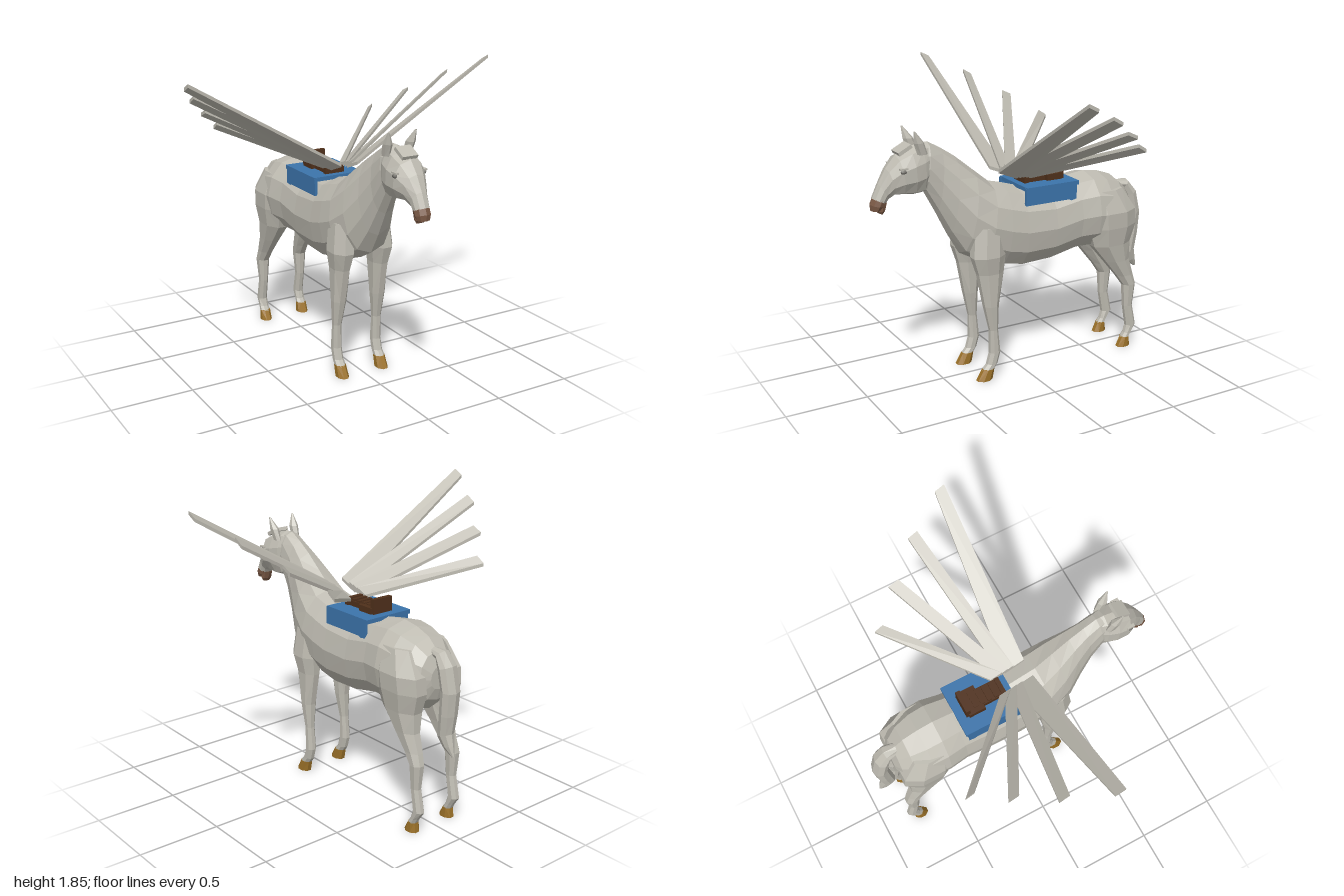
import * as THREE from 'three';

const paint = (name, color) => {
  const m = new THREE.MeshStandardMaterial({ color });
  m.name = name;
  return m;
};

// Closed faceted skin over a list of rings, wound outwards
function loft(rings) {
  const n = rings[0].length, tris = [];
  const mid = r => r.reduce((s, p) => s.add(p), new THREE.Vector3()).divideScalar(n);
  for (let k = 0; k < rings.length - 1; k++) {
    for (let i = 0; i < n; i++) {
      const j = (i + 1) % n, a = rings[k], b = rings[k + 1];
      tris.push([a[i], a[j], b[j]], [a[i], b[j], b[i]]);
    }
  }
  const first = rings[0], last = rings[rings.length - 1];
  const c0 = mid(first), c1 = mid(last);
  for (let i = 0; i < n; i++) {
    const j = (i + 1) % n;
    tris.push([c0, first[j], first[i]], [c1, last[i], last[j]]);
  }
  // a negative volume means the skin is inside out
  const volume = tris.reduce((v, [a, b, c]) => v + a.dot(b.clone().cross(c)), 0);
  if (volume < 0) tris.forEach(t => t.reverse());
  const g = new THREE.BufferGeometry().setFromPoints(tris.flat());
  g.computeVertexNormals();
  return g;
}

// Ring standing across the body: top z,y, bottom z,y and half width
const uprightRing = n => ([zt, yt, zb, yb, w]) => Array.from({ length: n }, (_, i) => {
  const a = (i / n) * Math.PI * 2, t = (1 + Math.cos(a)) / 2, s = Math.sin(a);
  return new THREE.Vector3(w * Math.sign(s) * Math.abs(s) ** 0.85,
    yb + (yt - yb) * t, zb + (zt - zb) * t);
});

// Level ring: height, front z, back z, inner x and outer x
const levelRing = (side, n = 8) => ([y, zf, zb, xi, xo]) => Array.from({ length: n }, (_, i) => {
  const a = ((i + 0.5) / n) * Math.PI * 2, k = 1.06;
  return new THREE.Vector3(side * ((xi + xo) / 2 + k * Math.cos(a) * (xo - xi) / 2), y,
    (zf + zb) / 2 + k * Math.sin(a) * (zf - zb) / 2);
});

const TRUNK = [
  [-0.80, 1.00, -0.80, 0.86, 0.07], [-0.77, 1.08, -0.78, 0.79, 0.13],
  [-0.70, 1.145, -0.72, 0.72, 0.185], [-0.60, 1.18, -0.60, 0.70, 0.22],
  [-0.50, 1.195, -0.50, 0.71, 0.225], [-0.38, 1.18, -0.38, 0.71, 0.205],
  [-0.20, 1.15, -0.20, 0.67, 0.20], [0, 1.17, 0, 0.66, 0.20],
  [0.10, 1.20, 0.13, 0.685, 0.20], [0.18, 1.22, 0.27, 0.74, 0.195],
  [0.29, 1.31, 0.38, 0.80, 0.165], [0.40, 1.40, 0.455, 0.93, 0.12],
  [0.49, 1.46, 0.53, 1.08, 0.09], [0.57, 1.505, 0.60, 1.21, 0.08],
  [0.62, 1.50, 0.64, 1.23, 0.07],
];
const HEAD = [
  [0.57, 1.50, 0.58, 1.25, 0.07], [0.62, 1.505, 0.61, 1.21, 0.09],
  [0.69, 1.485, 0.67, 1.205, 0.106], [0.77, 1.45, 0.74, 1.215, 0.105],
  [0.83, 1.38, 0.79, 1.22, 0.075], [0.88, 1.295, 0.825, 1.20, 0.052],
  [0.918, 1.215, 0.84, 1.18, 0.048],
];
const TAIL = [
  [-0.72, 1.10, -0.74, 1.04, 0.03], [-0.83, 1.095, -0.79, 1.045, 0.05],
  [-0.895, 1.02, -0.81, 0.99, 0.06], [-0.93, 0.87, -0.835, 0.88, 0.06],
  [-0.92, 0.73, -0.825, 0.73, 0.055], [-0.905, 0.62, -0.81, 0.59, 0.045],
  [-0.92, 0.55, -0.85, 0.53, 0.03], [-0.93, 0.49, -0.915, 0.485, 0.008],
];
const FRONT_LEG = [
  [0.98, 0.34, 0.14, 0.05, 0.185], [0.80, 0.36, 0.145, 0.06, 0.205],
  [0.69, 0.325, 0.155, 0.08, 0.185], [0.48, 0.285, 0.19, 0.092, 0.18],
  [0.32, 0.25, 0.195, 0.112, 0.168], [0.17, 0.25, 0.18, 0.11, 0.17],
  [0.10, 0.27, 0.20, 0.11, 0.17], [0.065, 0.30, 0.225, 0.108, 0.172],
];
const HIND_LEG = [
  [1.09, -0.45, -0.70, 0.06, 0.185], [0.95, -0.44, -0.79, 0.04, 0.23],
  [0.85, -0.45, -0.80, 0.04, 0.225], [0.73, -0.49, -0.765, 0.05, 0.205],
  [0.61, -0.59, -0.765, 0.075, 0.19], [0.50, -0.68, -0.80, 0.09, 0.18],
  [0.43, -0.73, -0.82, 0.10, 0.18], [0.28, -0.74, -0.805, 0.112, 0.168],
  [0.14, -0.765, -0.835, 0.11, 0.17], [0.09, -0.75, -0.80, 0.11, 0.17],
  [0.06, -0.73, -0.785, 0.108, 0.172],
];
const EAR = [
  [1.45, 0.66, 0.60, 0.05, 0.09], [1.52, 0.685, 0.625, 0.05, 0.10],
  [1.59, 0.69, 0.68, 0.084, 0.092],
];
// Tip x, then front z, back z, front y, back y at the tip and at the root
const FEATHERS = [
  [1.00, [0.135, 0.075, 1.85, 1.82], [0.135, 0.01, 1.29, 1.24]],
  [0.87, [-0.11, -0.17, 1.735, 1.70], [0.065, -0.015, 1.28, 1.24]],
  [0.715, [-0.32, -0.385, 1.60, 1.57], [0.03, -0.05, 1.27, 1.235]],
  [0.56, [-0.51, -0.565, 1.475, 1.44], [-0.01, -0.085, 1.26, 1.23]],
];

export function createModel() {
  const coat = paint('coat grey', 0xbfbcb2);
  const hoofMat = paint('hoof ochre', 0x9c7229);
  const muzzleMat = paint('muzzle brown', 0x7a5945);
  const cloth = paint('cloth blue', 0x3c74ab);
  const leather = paint('leather brown', 0x4f301b);
  const eyeMat = paint('eye grey', 0x77756f);

  const model = new THREE.Group();
  model.name = 'wingedHorse';
  const add = (name, geometry, material) => {
    const mesh = new THREE.Mesh(geometry, material);
    mesh.name = name;
    model.add(mesh);
    return mesh;
  };
  const box = (name, material, w, h, d, x, y, z) =>
    add(name, new THREE.BoxGeometry(w, h, d), material).position.set(x, y, z);

  add('trunkAndNeck', loft(TRUNK.map(uprightRing(12))), coat);
  add('head', loft(HEAD.map(uprightRing(10))), coat);
  add('tail', loft(TAIL.map(uprightRing(8))), coat);

  // Nose and chin
  add('nose', loft([
    [0.915, 1.22, 0.835, 1.185, 0.047], [0.932, 1.18, 0.85, 1.16, 0.047],
    [0.93, 1.145, 0.87, 1.145, 0.038],
  ].map(uprightRing(8))), muzzleMat);
  add('chin', loft([
    [0.90, 1.18, 0.83, 1.185, 0.038], [0.895, 1.14, 0.845, 1.14, 0.036],
    [0.885, 1.125, 0.86, 1.118, 0.025],
  ].map(uprightRing(8))), muzzleMat);

  // Short fringe lying on the brow
  const fringe = add('forelock', new THREE.BoxGeometry(0.1, 0.022, 0.09), coat);
  fringe.position.set(0, 1.48, 0.725);
  fringe.rotation.x = 0.48;

  for (const side of [1, -1]) {
    const label = side > 0 ? 'left' : 'right';
    const ring = levelRing(side);
    add(label + 'FrontLeg', loft(FRONT_LEG.map(ring)), coat);
    add(label + 'HindLeg', loft(HIND_LEG.map(ring)), coat);
    add(label + 'FrontHoof', loft([
      [0.07, 0.297, 0.222, 0.107, 0.173], [0, 0.338, 0.237, 0.104, 0.176],
    ].map(ring)), hoofMat);
    add(label + 'HindHoof', loft([
      [0.065, -0.733, -0.783, 0.107, 0.173], [0, -0.70, -0.793, 0.104, 0.176],
    ].map(ring)), hoofMat);
    add(label + 'Ear', loft(EAR.map(levelRing(side, 6))), coat);

    // Eye under a raised lid
    const eye = add(label + 'Eye', new THREE.SphereGeometry(1, 8, 6), eyeMat);
    eye.scale.set(0.012, 0.013, 0.02);
    eye.position.set(side * 0.094, 1.368, 0.758);
    const lid = add(label + 'Eyelid', new THREE.BoxGeometry(0.02, 0.01, 0.05), coat);
    lid.position.set(side * 0.092, 1.385, 0.758);

    // Wing of four tapering feathers
    FEATHERS.forEach(([tipX, tip, root], i) => {
      const end = (x, [zf, zr, yf, yr]) => [[zf, yf], [zr, yr], [zr, yr - 0.02], [zf, yf - 0.02]]
        .map(([z, y]) => new THREE.Vector3(side * x, y, z));
      add(label + 'Feather' + (i + 1), loft([end(0.055, root), end(tipX, tip)]), coat);
    });

    // Cloth flap, longer at the back corner
    const flap = new THREE.Shape([[0, 1.18], [0.355, 1.18], [0.355, 1.05], [0.30, 1.075], [0, 1.075]]
      .map(p => new THREE.Vector2(...p)));
    const panel = add(label + 'ClothFlap',
      new THREE.ExtrudeGeometry(flap, { depth: 0.02, bevelEnabled: false }), cloth);
    panel.rotation.y = Math.PI / 2;
    panel.position.set(side > 0 ? 0.147 : -0.167, 0, 0.008);
  }

  // Saddle on its cloth
  box('saddleCloth', cloth, 0.334, 0.025, 0.365, 0, 1.173, -0.18);
  box('saddleSeat', leather, 0.11, 0.035, 0.24, 0, 1.20, -0.16);
  box('saddleRearSeat', leather, 0.16, 0.04, 0.105, 0, 1.203, -0.242);
  box('saddleCantle', leather, 0.14, 0.09, 0.028, 0, 1.23, -0.296);
  box('saddlePommel', leather, 0.13, 0.045, 0.028, 0, 1.206, -0.053);
  for (let i = 0; i < 4; i++) {
    box('saddleRib' + (i + 1), leather, 0.1, 0.012, 0.025, 0, 1.223, -0.10 - i * 0.045);
  }
  return model;
}
